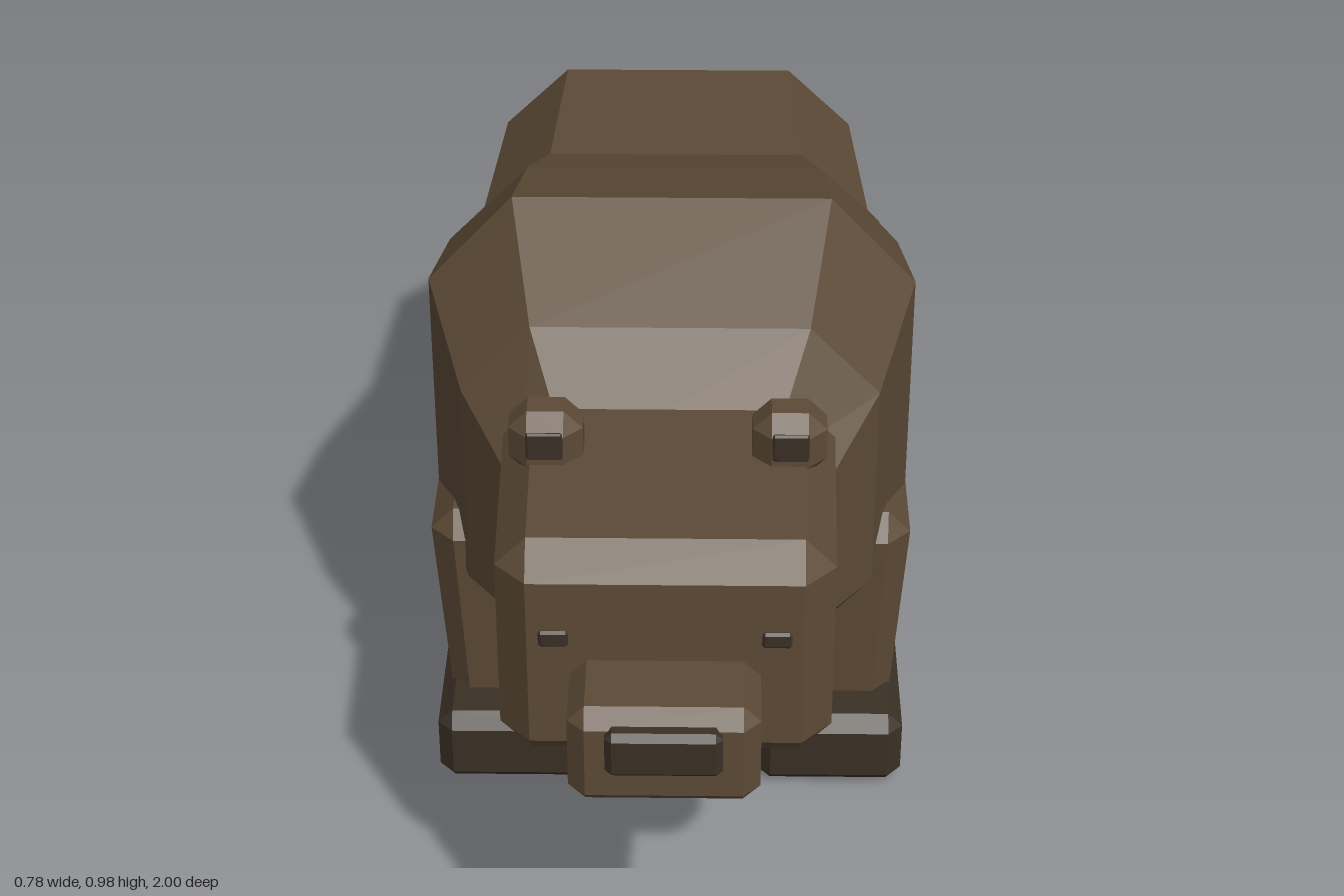
import * as THREE from 'three';
import { ConvexGeometry } from 'three/addons/geometries/ConvexGeometry.js';

const material = (name, color) => {
  const m = new THREE.MeshStandardMaterial({ color, flatShading: true });
  m.name = name;
  return m;
};

// Box with bevelled edges; shape(p) may then taper its corners.
function bevelBox([x0, x1], [y0, y1], [z0, z1], c, shape = () => {}) {
  const h = [(x1 - x0) / 2, (y1 - y0) / 2, (z1 - z0) / 2];
  const mid = [(x0 + x1) / 2, (y0 + y1) / 2, (z0 + z1) / 2];
  const points = [];
  for (const sx of [-1, 1]) for (const sy of [-1, 1]) for (const sz of [-1, 1]) {
    for (let full = 0; full < 3; full++) {
      const s = [sx, sy, sz];
      const p = new THREE.Vector3(...s.map((v, i) => mid[i] + v * (h[i] - (i === full ? 0 : c))));
      shape(p);
      points.push(p);
    }
  }
  return new ConvexGeometry(points);
}

// Octagonal cross-sections, back to front:
// z, top y, upper corner y, lower corner y, bottom y, half width, top half width, bottom half width
const SECTIONS = [
  [-0.91, 0.68, 0.6, 0.38, 0.31, 0.19, 0.135, 0.13],
  [-0.72, 0.78, 0.67, 0.35, 0.24, 0.32, 0.205, 0.21],
  [-0.36, 0.79, 0.68, 0.345, 0.235, 0.34, 0.22, 0.22],
  [-0.06, 0.92, 0.785, 0.365, 0.235, 0.372, 0.24, 0.24],
  [0.16, 0.983, 0.835, 0.385, 0.235, 0.387, 0.25, 0.25],
  [0.35, 0.86, 0.745, 0.39, 0.27, 0.325, 0.215, 0.215],
  [0.5, 0.705, 0.64, 0.407, 0.33, 0.225, 0.15, 0.15],
];

function bodyGeometry() {
  const pos = [], index = [];
  for (const [z, top, up, low, bottom, w, tw, bw] of SECTIONS) {
    const ring = [[w, low], [w, up], [tw, top], [-tw, top], [-w, up], [-w, low], [-bw, bottom], [bw, bottom]];
    for (const [x, y] of ring) pos.push(x, y, z);
  }
  const last = (SECTIONS.length - 1) * 8;
  for (let r = 0; r < last; r += 8) {
    for (let j = 0; j < 8; j++) {
      const a = r + j, b = r + (j + 1) % 8;
      index.push(a, b, b + 8, a, b + 8, a + 8);
    }
  }
  // end caps
  for (let j = 1; j < 7; j++) {
    index.push(0, j + 1, j);
    index.push(last, last + j, last + j + 1);
  }
  const indexed = new THREE.BufferGeometry();
  indexed.setAttribute('position', new THREE.Float32BufferAttribute(pos, 3));
  indexed.setIndex(index);
  const geometry = indexed.toNonIndexed();
  geometry.computeVertexNormals();
  return geometry;
}

export function createModel() {
  const fur = material('brown fur', 0x5c4a36);
  const dark = material('dark brown', 0x3a3025);
  const model = new THREE.Group();
  model.name = 'bear';

  const add = (name, geometry, mat, parent = model) => {
    const mesh = new THREE.Mesh(geometry, mat);
    mesh.name = name;
    parent.add(mesh);
  };

  add('body', bodyGeometry(), fur);
  add('tail', bevelBox([-0.06, 0.06], [0.457, 0.57], [-1, -0.87], 0.03), fur);

  // Head, slightly narrower toward the face; its rear bevel sits inside the body
  const head = new THREE.Group();
  head.name = 'head';
  model.add(head);
  add('skull', bevelBox([-0.252, 0.252], [0.41, 0.785], [0.465, 0.85], 0.047, (p) => {
    if (p.z < 0.6) {
      p.z = 0.465;
    } else {
      p.x *= 0.965;
    }
  }), fur, head);
  add('muzzle', bevelBox([-0.137, 0.137], [0.44, 0.605], [0.78, 0.98], 0.025), fur, head);
  add('nose', bevelBox([-0.083, 0.083], [0.51, 0.585], [0.94, 1], 0.01), dark, head);

  for (const side of [1, -1]) {
    const label = side > 0 ? 'left' : 'right';
    const span = (a, b) => (side > 0 ? [a, b] : [-b, -a]);

    add(`${label}Eye`, bevelBox(span(0.138, 0.181), [0.63, 0.657], [0.845, 0.855], 0.004), dark, head);
    add(`${label}Ear`, bevelBox(span(0.124, 0.234), [0.755, 0.86], [0.522, 0.618], 0.028), fur, head);
    add(`${label}InnerEar`, bevelBox(span(0.153, 0.207), [0.795, 0.84], [0.614, 0.622], 0.003), dark, head);

    // Legs taper toward the paws
    for (const [place, legZ, pawZ] of [['front', 0.21, 0.24], ['rear', -0.657, -0.62]]) {
      const leg = new THREE.Group();
      leg.name = `${label}${place === 'front' ? 'Front' : 'Rear'}Leg`;
      model.add(leg);
      const cx = side * 0.265;
      add('leg', bevelBox(span(0.142, 0.388), [0.06, 0.487], [legZ - 0.125, legZ + 0.125], 0.038, (p) => {
        const k = 0.8 + 0.2 * (p.y - 0.06) / 0.39;
        p.x = cx + (p.x - cx) * k;
        p.z = legZ + (p.z - legZ) * k;
      }), fur, leg);
      add('paw', bevelBox(span(0.143, 0.385), [0, 0.135], [pawZ - 0.16, pawZ + 0.16], 0.024), dark, leg);
    }
  }
  return model;
}
